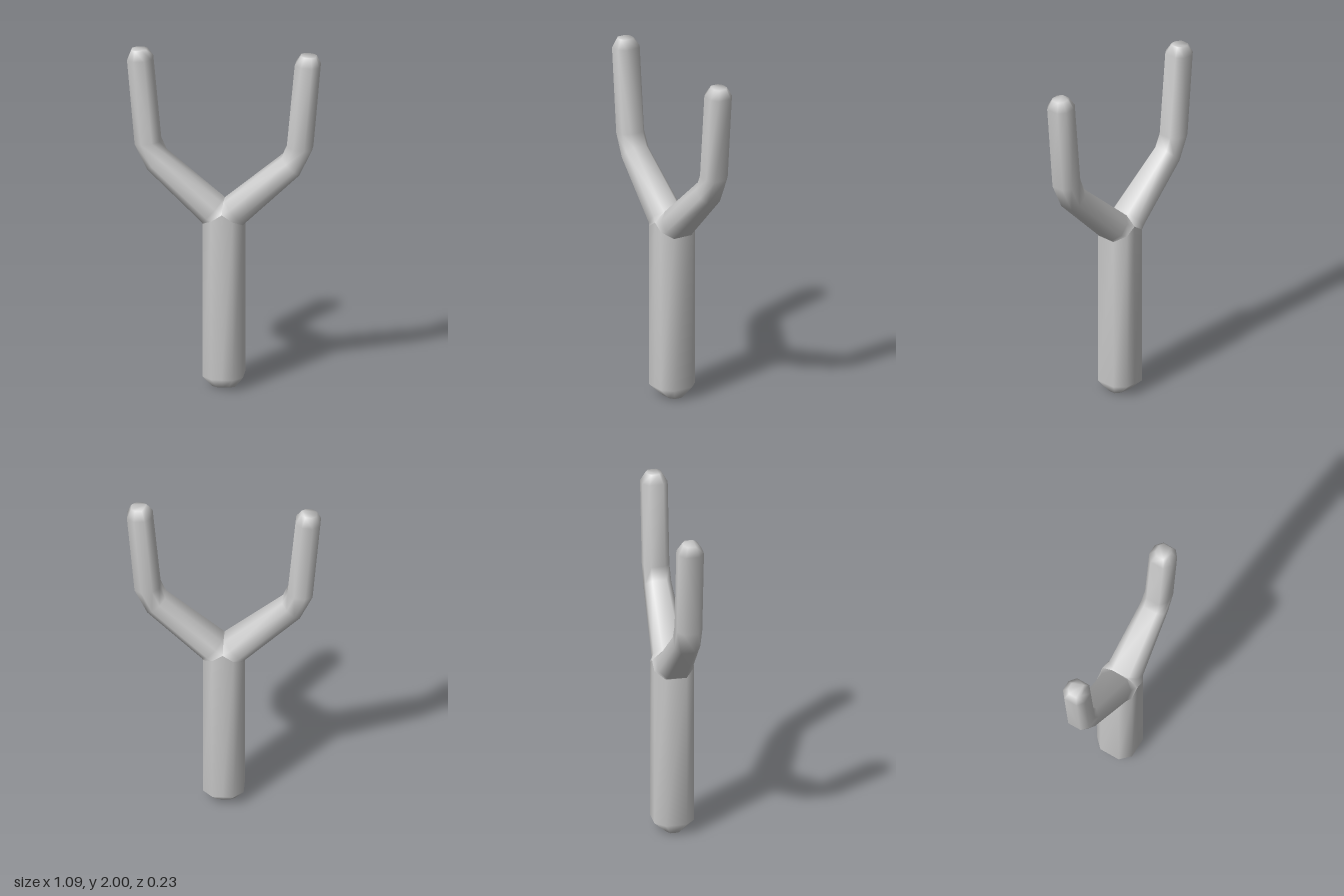
import * as THREE from 'three';

// Skin a list of equal-length rings (counter-clockwise about the travel direction) with smooth normals.
function loft(rings, { flip = false, capStart = false, capEnd = false } = {}) {
  const n = rings[0].length, index = [];
  const tri = (a, b, c) => (flip ? index.push(a, c, b) : index.push(a, b, c));
  for (let r = 0; r < rings.length - 1; r++) {
    for (let i = 0; i < n; i++) {
      const a = r * n + i, b = r * n + ((i + 1) % n);
      tri(a, b, b + n);
      tri(a, b + n, a + n);
    }
  }
  const last = (rings.length - 1) * n;
  for (let i = 1; i < n - 1; i++) {
    if (capStart) tri(0, i + 1, i);
    if (capEnd) tri(last, last + i, last + i + 1);
  }
  const geometry = new THREE.BufferGeometry();
  geometry.setAttribute('position', new THREE.Float32BufferAttribute(rings.flat(2), 3));
  geometry.setIndex(index);
  geometry.computeVertexNormals();
  return geometry;
}

// Mirror a half ring (z > 0) to the back
const closeRing = (half) => [...half, ...half.map(([x, y, z]) => [x, y, -z]).reverse()];

// Eight-sided arm section between an inner and an outer point, half depth w
function armRing([ix, iy], [ox, oy], w) {
  const at = (u, z) => [ix + (ox - ix) * u, iy + (oy - iy) * u, z];
  return closeRing([at(0, w * 0.55), at(0.28, w), at(0.72, w), at(1, w * 0.55)]);
}

// Slanted seam where handle and arm meet, from the crotch to the outer shoulder
const CROTCH = [0, 1.11, 0.05], CENTRE = [0, 1.06, 0.115];
const CORNER = [0.06, 1.02, 0.115], SHOULDER = [0.115, 0.985, 0.06];

// Ten-point handle outline at a given height
function handleRing(height, sx = 1, sz = 1) {
  const quarter = [CENTRE, CORNER, SHOULDER];
  const right = closeRing(quarter);
  const left = right.slice(1, -1).reverse().map(([x, y, z]) => [-x, y, z]);
  return [...right, ...left].map(([x, y, z]) => [x * sx, height ?? y, z * sz]);
}

export function createModel() {
  const model = new THREE.Group();
  model.name = 'slingshotFrame';
  const material = new THREE.MeshStandardMaterial({ color: 0xcccccc });
  const add = (name, geometry) => {
    const mesh = new THREE.Mesh(geometry, material);
    mesh.name = name;
    model.add(mesh);
  };

  // Handle with a chamfered foot
  add('handle', loft([handleRing(0, 0.57, 0.37), handleRing(0.07), handleRing()], { capStart: true }));

  // Forked arms: junction, tapering branch, elbow, upright and chamfered tip
  const armRings = [
    closeRing([CROTCH, CENTRE, CORNER, SHOULDER]),
    armRing([0.01, 1.117], [0.122, 0.993], 0.097),
    armRing([0.33, 1.39], [0.43, 1.29], 0.075),
    armRing([0.36, 1.46], [0.502, 1.44], 0.073),
    armRing([0.405, 1.95], [0.545, 1.94], 0.073),
    armRing([0.437, 2.0], [0.523, 1.995], 0.042),
  ];
  for (const side of [1, -1]) {
    const rings = armRings.map((ring) => ring.map(([x, y, z]) => [x * side, y, z]));
    add(side > 0 ? 'leftArm' : 'rightArm', loft(rings, { flip: side < 0, capEnd: true }));
  }
  return model;
}
